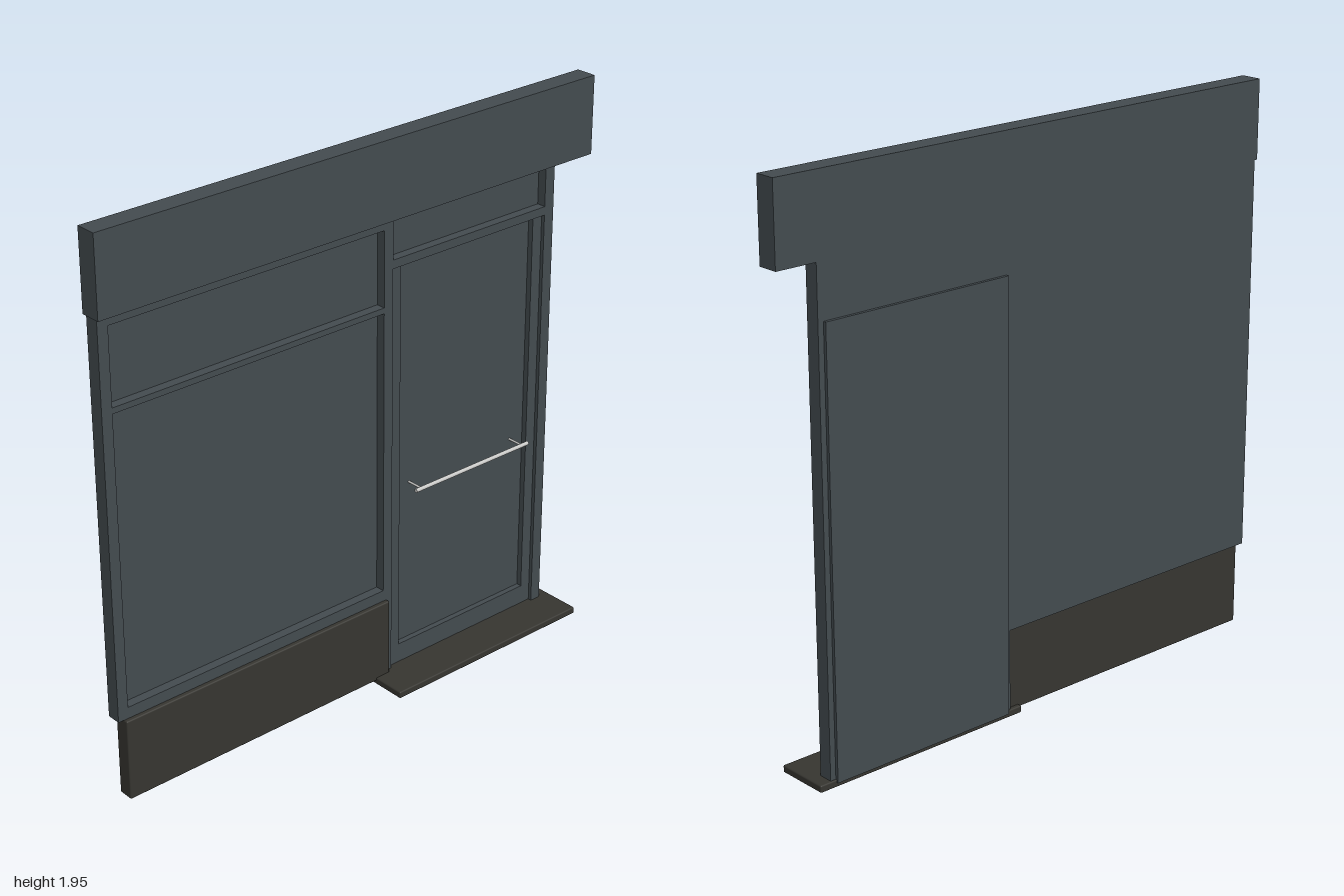
import * as THREE from 'three';
import { RoundedBoxGeometry } from 'three/addons/geometries/RoundedBoxGeometry.js';

const material = (name, color) => {
  const m = new THREE.MeshStandardMaterial({ color });
  m.name = name;
  return m;
};

export function createModel() {
  const group = new THREE.Group();
  const slate = material('slate grey paint', 0x434b4f);
  const stone = material('dark stone', 0x363530);
  const steel = material('brushed steel', 0xc8c8c6);

  const add = (name, geometry, mat) => {
    const mesh = new THREE.Mesh(geometry, mat);
    mesh.name = name;
    group.add(mesh);
    return mesh;
  };

  // Box given by its limits, optionally with softened edges
  const box = (name, mat, x0, x1, y0, y1, z0, z1, radius = 0) => {
    const size = [x1 - x0, y1 - y0, z1 - z0];
    const geometry = radius ? new RoundedBoxGeometry(...size, 2, radius) : new THREE.BoxGeometry(...size);
    add(name, geometry, mat).position.set((x0 + x1) / 2, (y0 + y1) / 2, (z0 + z1) / 2);
  };

  // Flat frame with rectangular openings [x0, x1, y0, y1]
  const frame = (name, outline, openings, z0, z1) => {
    const shape = new THREE.Shape(outline.map(([x, y]) => new THREE.Vector2(x, y)));
    for (const [x0, x1, y0, y1] of openings) {
      shape.holes.push(new THREE.Path([[x0, y0], [x0, y1], [x1, y1], [x1, y0]].map(([x, y]) => new THREE.Vector2(x, y))));
    }
    const geometry = new THREE.ExtrudeGeometry(shape, { depth: z1 - z0, bevelEnabled: false });
    geometry.translate(0, 0, z0);
    add(name, geometry, slate);
  };

  // Header board across the top
  box('fascia', slate, -1, 1, 1.68, 1.952, -0.087, -0.013);

  // Window frame, mullion, transom bar and door posts in one piece
  frame('shopfrontFrame',
    [[-0.988, 0.305], [0.11, 0.305], [0.11, 0.015], [0.145, 0.015], [0.145, 1.505], [0.815, 1.505],
      [0.815, 0.015], [0.855, 0.015], [0.855, 1.68], [-0.988, 1.68]],
    [[-0.95, 0.108, 0.345, 1.362], [-0.95, 0.108, 1.382, 1.645], [0.145, 0.815, 1.535, 1.679]],
    -0.07, -0.037);

  // Infill panels behind the openings
  box('windowPanel', slate, -0.988, 0.11, 0.305, 1.68, -0.087, -0.07);
  box('doorwayPanel', slate, 0.11, 0.855, 0.015, 1.68, -0.087, -0.07);

  // Door leaf: raised border at the front, slab at the back
  frame('doorBorder', [[0.145, 0.025], [0.815, 0.025], [0.815, 1.505], [0.145, 1.505]],
    [[0.19, 0.775, 0.095, 1.503]], -0.07, -0.05);
  box('doorBack', slate, 0.125, 0.835, 0.015, 1.5, -0.098, -0.087);

  // Riser below the window and doorstep
  box('stallRiser', stone, -0.967, 0.124, 0.014, 0.305, -0.078, -0.022, 0.005);
  box('doorstep', stone, 0.065, 0.898, 0, 0.025, -0.093, 0.098, 0.005);

  // Push bar with two standoffs
  const bar = add('pushBar', new THREE.CylinderGeometry(0.007, 0.007, 0.516, 16), steel);
  bar.rotation.z = Math.PI / 2;
  bar.position.set(0.482, 0.696, -0.007);
  for (const x of [0.25, 0.714]) {
    const standoff = add('pushBarStandoff', new THREE.CylinderGeometry(0.004, 0.004, 0.063, 12), steel);
    standoff.rotation.x = Math.PI / 2;
    standoff.position.set(x, 0.696, -0.0385);
  }
  return group;
}
